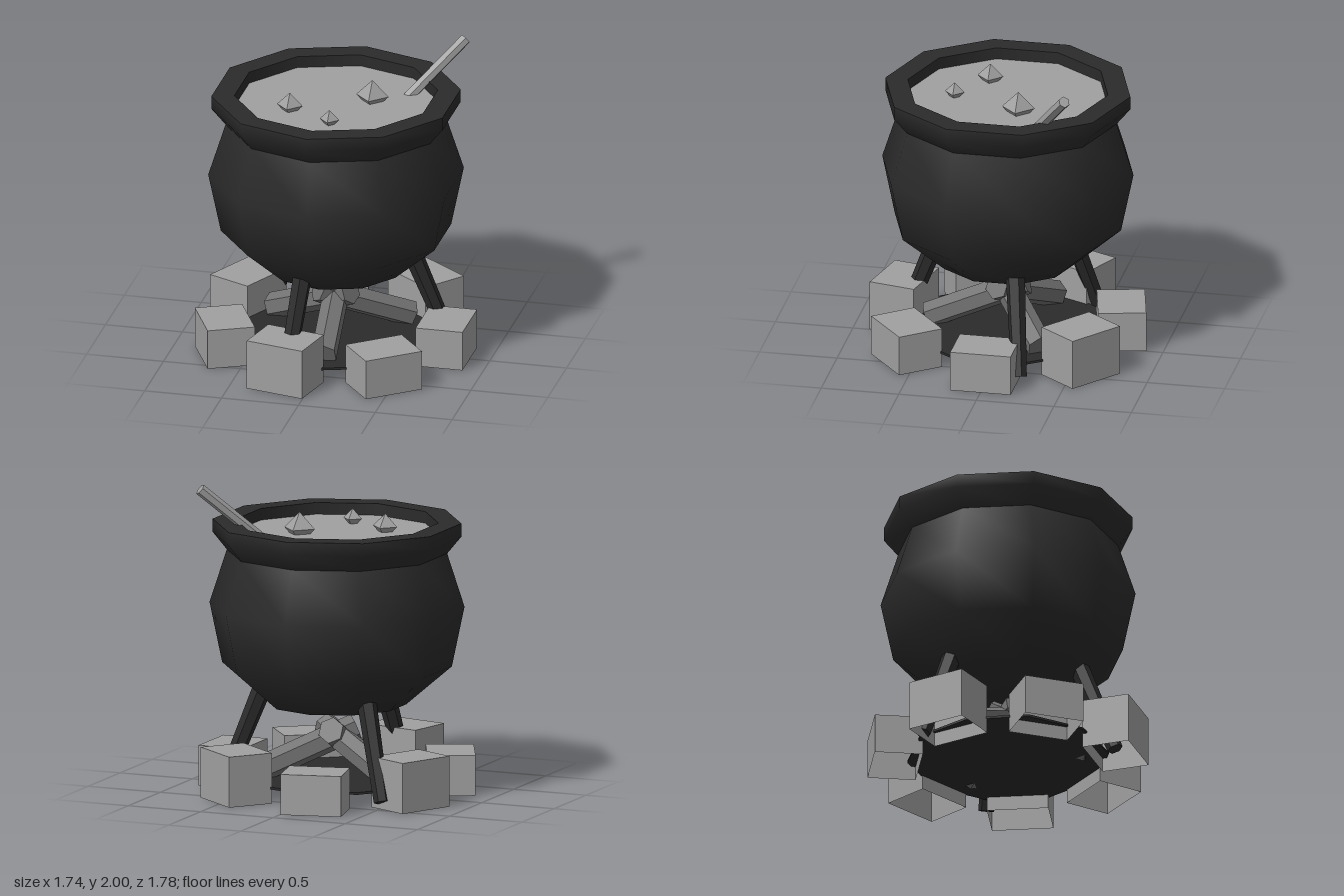
import * as THREE from 'three';

const V = (x, y, z) => new THREE.Vector3(x, y, z);

export function createModel() {
  const model = new THREE.Group();
  const iron = new THREE.MeshStandardMaterial({ color: 0x2b2b2b });
  iron.name = 'dark iron';
  const stone = new THREE.MeshStandardMaterial({ color: 0xa0a0a0, side: THREE.DoubleSide });
  stone.name = 'light grey';
  const wood = new THREE.MeshStandardMaterial({ color: 0x737373 });
  wood.name = 'mid grey wood';

  const add = (name, geometry, material, parent = model) => {
    const mesh = new THREE.Mesh(geometry, material);
    mesh.name = name;
    parent.add(mesh);
    return mesh;
  };
  const group = (name) => {
    const g = new THREE.Group();
    g.name = name;
    model.add(g);
    return g;
  };
  // ten-sided surface of revolution, given as [radius, y] pairs
  const lathe = (points) =>
    new THREE.LatheGeometry(points.map(([r, y]) => new THREE.Vector2(r, y)), 10);
  // faceted bar from point a to point b
  const bar = (name, a, b, ra, rb, sides, material, parent) => {
    const dir = b.clone().sub(a);
    const g = new THREE.CylinderGeometry(rb, ra, dir.length(), sides).toNonIndexed();
    g.computeVertexNormals();
    const mesh = add(name, g, material, parent);
    mesh.position.copy(a).add(b).multiplyScalar(0.5);
    mesh.quaternion.setFromUnitVectors(V(0, 1, 0), dir.normalize());
    return mesh;
  };
  // point at a given angle (degrees, from +x towards +z)
  const polar = (deg, r, y) => {
    const a = THREE.MathUtils.degToRad(deg);
    return V(Math.cos(a) * r, y, Math.sin(a) * r);
  };

  // pot body and flared rim, split where the edges are sharp
  const pot = group('pot');
  add('potBody', lathe([[0, 0.52], [0.44, 0.565], [0.73, 0.815], [0.81, 1.2], [0.7, 1.54]]), iron, pot);
  add('rimOutside', lathe([[0.7, 1.54], [0.79, 1.65], [0.79, 1.735]]), iron, pot);
  add('rimTop', lathe([[0.79, 1.735], [0.645, 1.735]]), iron, pot);
  add('rimInside', lathe([[0.645, 1.735], [0.645, 1.64]]), iron, pot);

  // soup surface with bubbles
  const soup = add('soup', new THREE.CircleGeometry(0.645, 10, Math.PI / 2), stone);
  soup.rotation.x = -Math.PI / 2;
  soup.position.y = 1.66;
  for (const [x, z, r] of [[0.21, -0.11, 0.105], [-0.26, 0.165, 0.083], [0.04, 0.335, 0.063]]) {
    add('bubble', new THREE.OctahedronGeometry(r), stone).position.set(x, 1.693, z);
  }

  // stirring stick
  bar('stirringStick', V(0.37, 1.6, -0.24), V(0.72, 1.972, -0.51), 0.037, 0.037, 6, stone);

  // three splayed legs
  const legs = group('legs');
  for (let i = 0; i < 3; i++) {
    const a = -17.2 + i * 120;
    bar('leg', polar(a, 0.715, 0.05), polar(a, 0.48, 0.64), 0.05, 0.062, 6, iron, legs);
  }

  // charred ground under the fire
  add('ashDisc', new THREE.CylinderGeometry(0.64, 0.64, 0.015, 10), iron).position.y = 0.1;

  // leaning fire logs
  const logs = group('logs');
  for (let i = 0; i < 3; i++) {
    const a = -35 + i * 120;
    bar('log', polar(a, 0.51, 0.15), polar(a, -0.12, 0.41), 0.085, 0.085, 6, wood, logs);
  }

  // ring of stones, open underneath, alternating in height
  const stones = group('stoneRing');
  for (let i = 0; i < 7; i++) {
    const h = i % 2 ? 0.325 : 0.26;
    const g = new THREE.BoxGeometry(0.305, h, 0.39);
    const index = Array.from(g.index.array);
    index.splice(18, 6); // drop the bottom face
    g.setIndex(index);
    g.clearGroups();
    const angle = (i * Math.PI * 2) / 7;
    const s = add('stone', g, stone, stones);
    s.position.set(Math.cos(angle) * 0.718, h / 2, -Math.sin(angle) * 0.718);
    s.rotation.y = angle;
  }
  return model;
}
